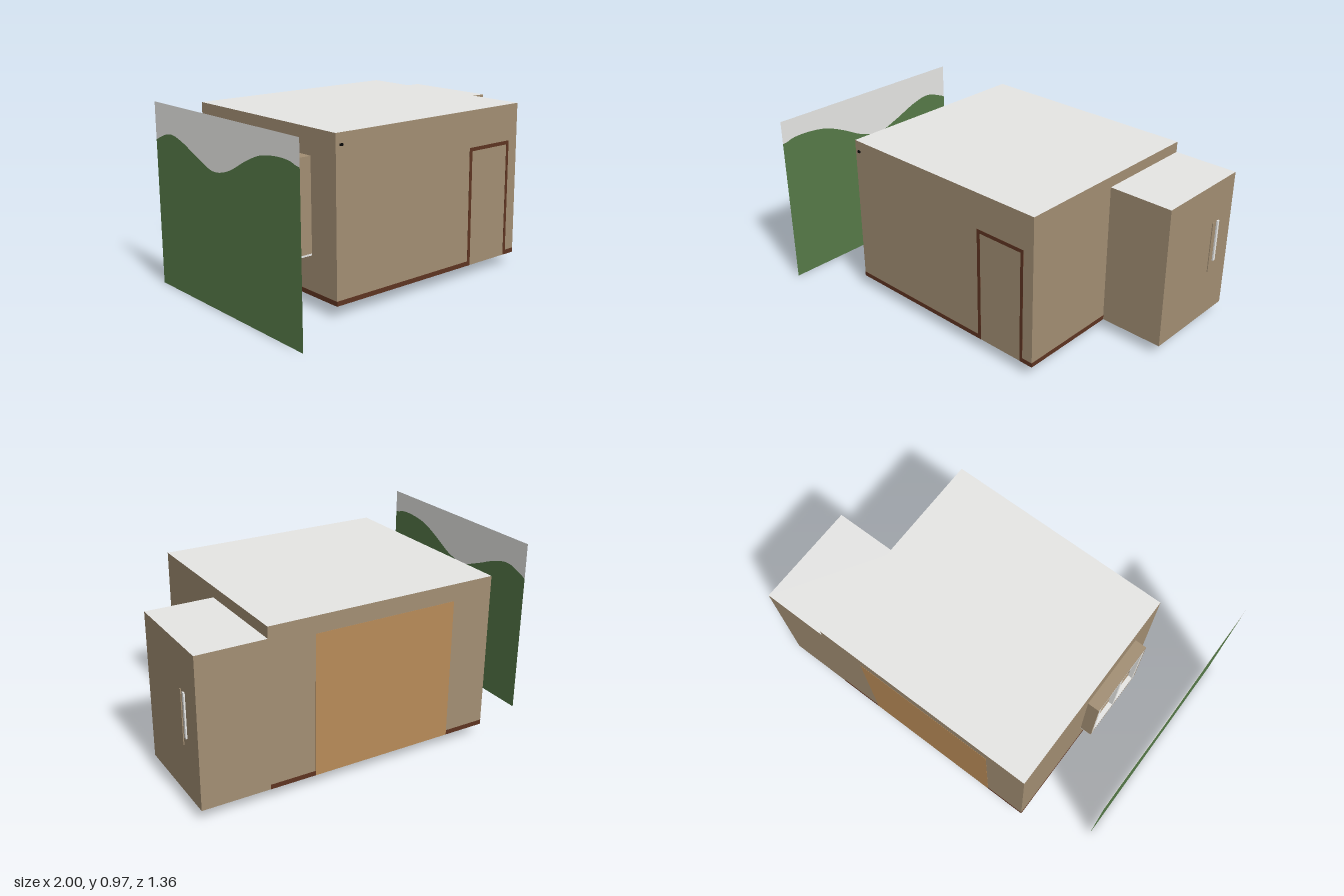
import * as THREE from 'three';

const mat = (name, color, side = THREE.FrontSide) => {
  const m = new THREE.MeshStandardMaterial({ color, side });
  m.name = name;
  return m;
};

export function createModel() {
  const root = new THREE.Group();
  root.name = 'roomModel';

  const wall = mat('wall tan', 0xa28e73);
  const white = mat('ceiling white', 0xe6e6e4);
  const floor = mat('floor brown', 0xa67a5a);
  const trim = mat('trim dark brown', 0x5e3421);
  const wood = mat('closet wood', 0xb88b58);
  const black = mat('black', 0x060606);
  const sky = mat('sky grey', 0xe6e6e4, THREE.DoubleSide);
  const grass = mat('hill green', 0x567a48, THREE.DoubleSide);

  // Box given by its lower and upper limits on each axis
  const box = (name, material, [x0, x1], [y0, y1], [z0, z1], parent = root) => {
    const mesh = new THREE.Mesh(new THREE.BoxGeometry(x1 - x0, y1 - y0, z1 - z0), material);
    mesh.position.set((x0 + x1) / 2, (y0 + y1) / 2, (z0 + z1) / 2);
    mesh.name = name;
    parent.add(mesh);
  };

  // Main room and side annex: tan walls, white roof, brown floor
  const shell = [wall, wall, white, floor, wall, wall];
  const L = -0.635, R = 0.633, B = 0.063, F = 0.47, K = -0.679;
  box('mainRoom', shell, [L, R], [B, 0.908], [K, F]);
  box('annex', shell, [R, 0.992], [B, 0.849], [K, -0.105]);

  // Skirting boards around the main room
  const e = 0.001, top = B + 0.025;
  const skirtTrim = [trim, trim, trim, floor, trim, trim];
  const skirting = new THREE.Group();
  skirting.name = 'skirting';
  root.add(skirting);
  box('skirtingFrontRight', skirtTrim, [L, 0.27], [B, top], [F, F + e], skirting);
  box('skirtingFrontLeft', skirtTrim, [0.57, R], [B, top], [F, F + e], skirting);
  box('skirtingLeft', skirtTrim, [R, R + e], [B, top], [-0.105, F], skirting);
  box('skirtingRight', skirtTrim, [L - e, L], [B, top], [K, F], skirting);
  box('skirtingBackLeft', skirtTrim, [0.386, R], [B, top], [K - e, K], skirting);
  box('skirtingBackRight', skirtTrim, [L, -0.405], [B, top], [K - e, K], skirting);

  // Door frame on the front wall
  const frame = new THREE.Group();
  frame.name = 'doorFrame';
  root.add(frame);
  box('doorPostRight', trim, [0.265, 0.285], [B, 0.71], [F, F + e], frame);
  box('doorPostLeft', trim, [0.552, 0.57], [B, 0.71], [F, F + e], frame);
  box('doorLintel', trim, [0.285, 0.552], [0.69, 0.71], [F, F + e], frame);

  // Closet panel on the back wall
  box('closetPanel', wood, [-0.405, 0.386], [B, 0.818], [K - e, K]);

  // Two bars on the annex side wall
  box('longBar', wall, [0.992, 0.997], [0.33, 0.62], [-0.516, -0.503]);
  box('shortBar', white, [0.992, 1.0], [0.383, 0.62], [-0.558, -0.542]);

  // Projecting window: reveal boards, sill, sashes
  const win = new THREE.Group();
  win.name = 'window';
  root.add(win);
  const wx = [-0.70, L], sash = [-0.70, -0.675], z0 = -0.14, z1 = 0.28, t = 0.02;
  box('windowHead', wall, wx, [0.755, 0.77], [z0, z1], win);
  box('windowBottom', wall, wx, [0.283, 0.3], [z0, z1], win);
  box('windowSill', white, wx, [0.273, 0.283], [z0, z1], win);
  box('windowSideBack', wall, wx, [0.3, 0.755], [z0, z0 + 0.01], win);
  box('windowSideFront', wall, wx, [0.3, 0.755], [z1 - 0.01, z1], win);
  for (const z of [z0 + 0.01, 0.06, z1 - 0.03])
    box('windowMullion', white, sash, [0.3, 0.755], [z, z + t], win);
  for (const y of [0.3, 0.735])
    box('windowRail', white, sash, [y, y + t], [z0 + 0.01, z1 - 0.01], win);
  box('windowPane', white, [-0.645, L], [0.3, 0.755], [z0 + 0.01, z1 - 0.01], win);

  // Small knob at the front corner
  box('cornerKnob', black, [-0.612, -0.597], [0.845, 0.856], [F, F + 0.009]);

  // Dark patches under the floor
  for (let i = 0; i < 13; i++) {
    const z = -0.32 + i * 0.036, x = 0.51 + (i * 7 % 5) * 0.014;
    box('floorPatch', black, [x, x + 0.045], [B - e, B], [z, z + 0.033]);
  }

  // Backdrop: a hill line splits one upright sheet into grass and sky
  const ridge = new THREE.SplineCurve([
    [-0.53, 0.775], [-0.4, 0.82], [-0.28, 0.80], [-0.13, 0.74], [0, 0.70], [0.13, 0.725],
    [0.26, 0.79], [0.38, 0.84], [0.5, 0.859], [0.6, 0.858], [0.65, 0.845], [0.68, 0.84],
  ].map(([z, y]) => new THREE.Vector2(z, y))).getPoints(50);
  const sheet = (name, material, y) => {
    const shape = new THREE.Shape([...ridge, new THREE.Vector2(0.68, y), new THREE.Vector2(-0.53, y)]);
    const mesh = new THREE.Mesh(new THREE.ShapeGeometry(shape), material);
    mesh.rotation.y = -Math.PI / 2;
    mesh.position.x = -1;
    mesh.name = name;
    root.add(mesh);
  };
  sheet('backdropHill', grass, 0);
  sheet('backdropSky', sky, 0.97);

  return root;
}
